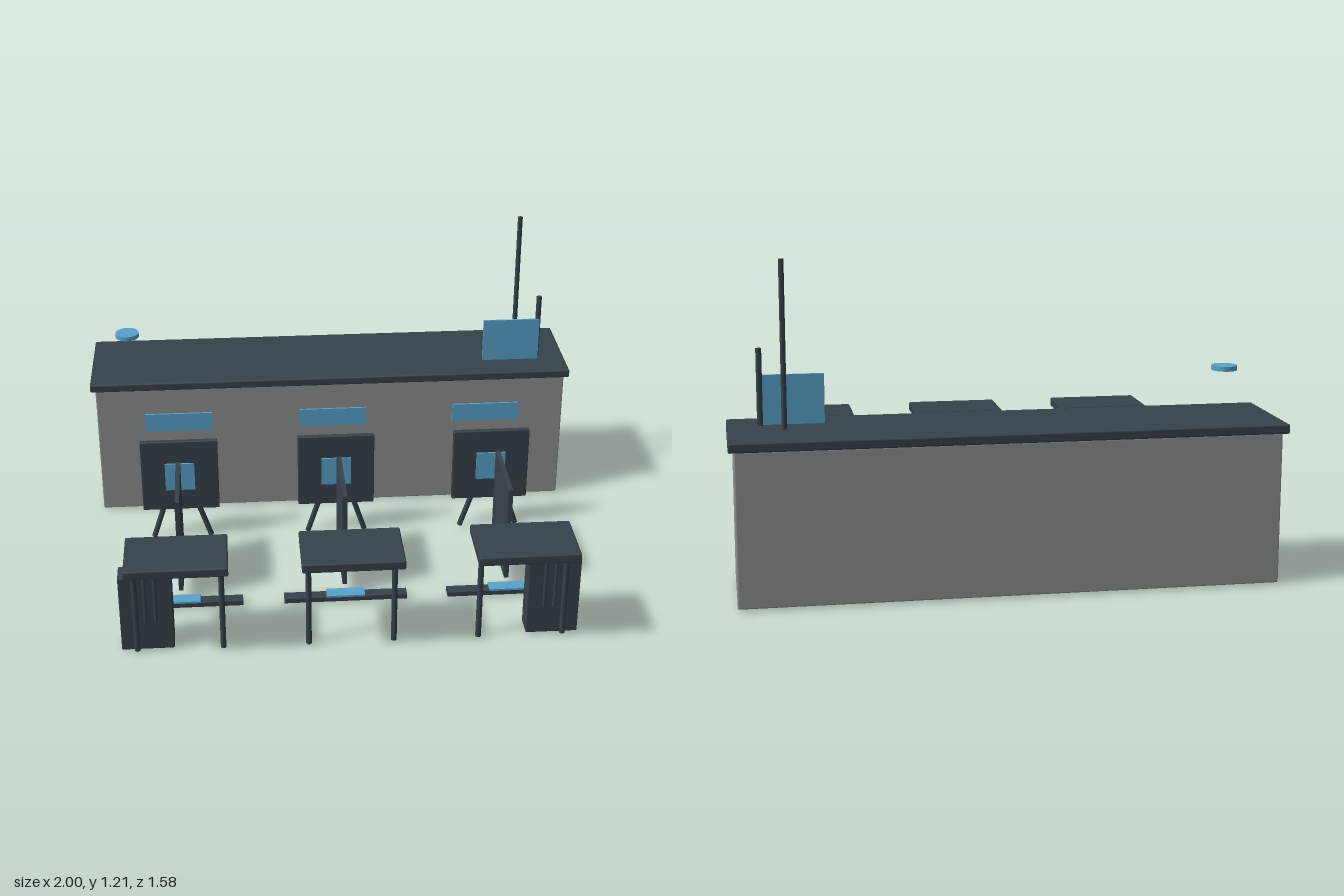
import * as THREE from 'three';
import { RoundedBoxGeometry } from 'three/addons/geometries/RoundedBoxGeometry.js';

const mat = (name, color) => {
  const m = new THREE.MeshStandardMaterial({ color });
  m.name = name;
  return m;
};

export function createModel() {
  const root = new THREE.Group();
  root.name = 'kioskWithStations';
  const wall = mat('wallGrey', 0x8b908e);
  const dark = mat('darkSlate', 0x36424a);
  const blue = mat('skyBlue', 0x58a2ca);

  const add = (parent, name, geometry, material, x, y, z) => {
    const mesh = new THREE.Mesh(geometry, material);
    mesh.name = name;
    mesh.position.set(x, y, z);
    parent.add(mesh);
    return mesh;
  };
  // Box from its min and max corners, with an optional small edge bevel
  const box = (parent, name, material, [x0, x1], [y0, y1], [z0, z1], bevel = 0) => {
    const s = [x1 - x0, y1 - y0, z1 - z0];
    const g = bevel ? new RoundedBoxGeometry(...s, 1, bevel) : new THREE.BoxGeometry(...s);
    return add(parent, name, g, material, (x0 + x1) / 2, (y0 + y1) / 2, (z0 + z1) / 2);
  };
  // Round bar between two points
  const bar = (parent, name, a, b, r, sides = 10) => {
    const p = new THREE.Vector3(...a), q = new THREE.Vector3(...b);
    const d = q.clone().sub(p);
    const mid = p.add(q).multiplyScalar(0.5);
    const mesh = add(parent, name, new THREE.CylinderGeometry(r, r, d.length(), sides), dark, mid.x, mid.y, mid.z);
    mesh.quaternion.setFromUnitVectors(new THREE.Vector3(0, 1, 0), d.normalize());
    return mesh;
  };

  // Main building with overhanging roof
  const building = new THREE.Group();
  building.name = 'building';
  root.add(building);
  box(building, 'walls', wall, [-0.98, 0.98], [0.01, 0.57], [-0.77, -0.37], 0.006);
  box(building, 'roof', dark, [-1, 1], [0.57, 0.605], [-0.79, -0.355], 0.007);

  // Mast, flagpole, flag and floating disc
  bar(root, 'mast', [0.797, 0.6, -0.573], [0.797, 1.21, -0.573], 0.01);
  bar(root, 'flagpole', [0.88, 0.003, -0.493], [0.88, 0.885, -0.493], 0.011);
  box(root, 'flag', blue, [0.648, 0.885], [0.605, 0.787], [-0.487, -0.479]);
  add(root, 'hoverDisc', new THREE.CylinderGeometry(0.048, 0.048, 0.018, 24), blue, -0.842, 0.768, -0.493);

  // Three identical stations; the outer two also have a cabinet
  for (const side of [-1, 0, 1]) {
    const station = new THREE.Group();
    station.name = ['rightStation', 'middleStation', 'leftStation'][side + 1];
    station.position.x = side * 0.64;
    root.add(station);

    box(station, 'wallSign', blue, [-0.139, 0.139], [0.408, 0.486], [-0.314, -0.306]);

    // Display board on splayed legs
    box(station, 'displayBoard', dark, [-0.157, 0.157], [0.14, 0.455], [-0.143, -0.12], 0.004);
    box(station, 'displayScreen', blue, [-0.06, 0.06], [0.235, 0.356], [-0.12, -0.113]);
    for (const s of [-1, 1])
      bar(station, 'displayLeg', [s * 0.065, 0.17, -0.131], [s * 0.118, 0.008, -0.131], 0.011);

    // Partition standing edge-on
    box(station, 'partition', dark, [-0.009, 0.009], [0.05, 0.447], [0.033, 0.351]);

    // Floor strip with its coloured marker
    box(station, 'floorStrip', dark, [-0.24, 0.24], [0.01, 0.029], [0.364, 0.41]);
    box(station, 'stripMarker', blue, [-0.075, 0.075], [0.029, 0.037], [0.36, 0.412]);

    // Table
    box(station, 'tableTop', dark, [-0.188, 0.188], [0.389, 0.426], [0.55, 0.788], 0.006);
    for (const s of [-1, 1])
      bar(station, 'tableLeg', [s * 0.16, 0.008, 0.675], [s * 0.16, 0.392, 0.675], 0.011);

    // Cabinet on the outer side, with hanging cables
    if (side) {
      const c = side * 0.12;
      box(station, 'cabinet', dark, [c - 0.098, c + 0.098], [0.01, 0.325], [0.59, 0.673], 0.004);
      for (const x of [0.085, 0.123])
        bar(station, 'cable', [side * x, 0.13, 0.676], [side * x, 0.392, 0.676], 0.007, 8);
    }
  }
  return root;
}
